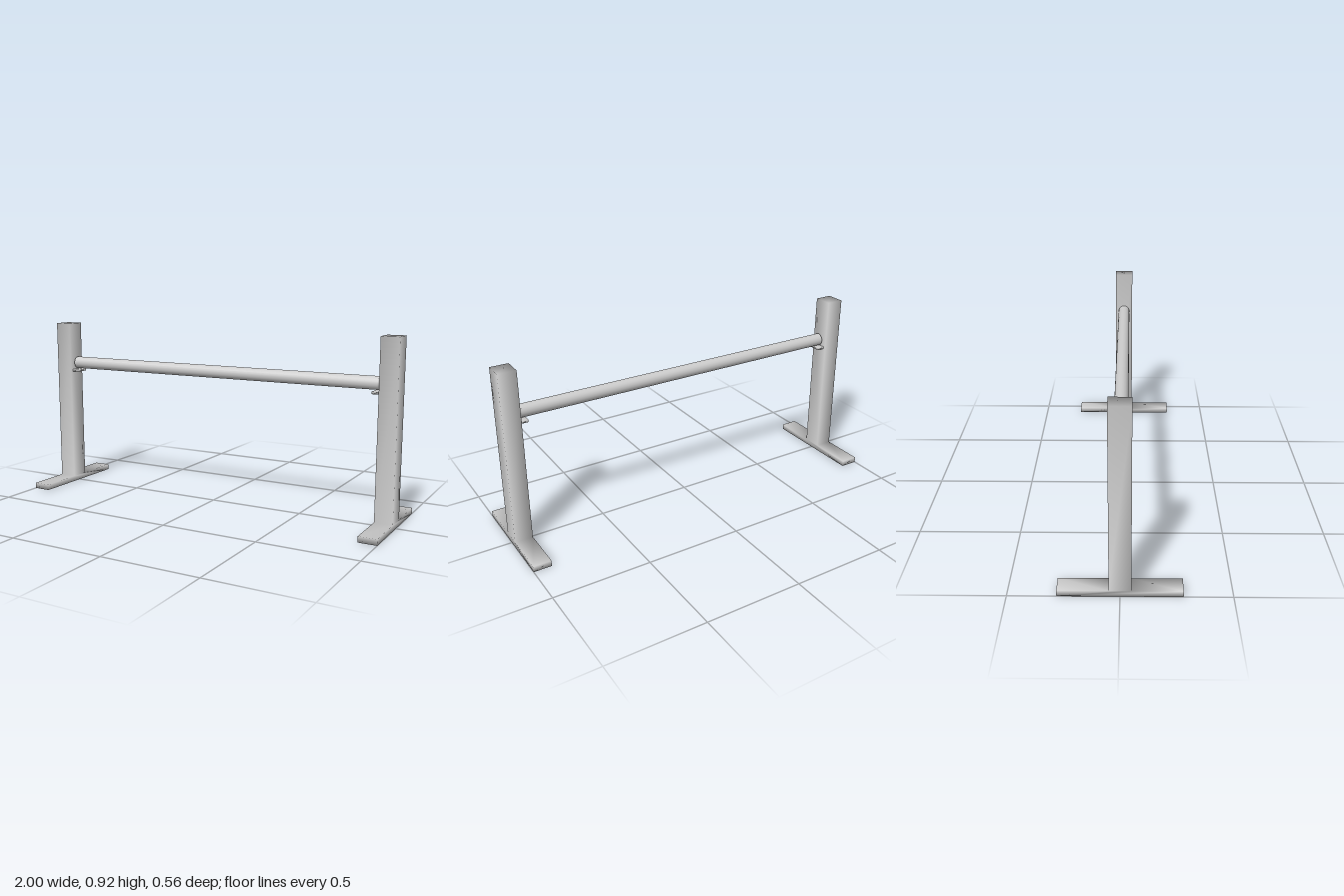
import * as THREE from 'three';
import { mergeVertices } from 'three/addons/utils/BufferGeometryUtils.js';

// Share corners so the shading runs softly across the edges
function soften(geometry) {
  geometry.deleteAttribute('uv');
  geometry.deleteAttribute('normal');
  const merged = mergeVertices(geometry, 1e-4);
  merged.computeVertexNormals();
  return merged;
}

export function createModel() {
  const group = new THREE.Group();
  group.name = 'hurdle';
  const paint = new THREE.MeshStandardMaterial({ color: 0xcccccc });
  paint.name = 'light grey';

  const add = (name, geometry, x, y) => {
    const mesh = new THREE.Mesh(soften(geometry), paint);
    mesh.name = name;
    mesh.position.set(x, y, 0);
    group.add(mesh);
  };

  // Side profile of a stand: upright post on a flat foot
  const half = [[0.28, 0], [0.28, 0.03], [0.05, 0.03], [0.05, 0.92]];
  const outline = [...half, ...half.map(([z, y]) => [-z, y]).reverse()];
  const profile = new THREE.Shape(outline.map(([z, y]) => new THREE.Vector2(z, y)));
  const thickness = 0.092;

  for (const [side, s] of [['left', 1], ['right', -1]]) {
    // Post and foot in one piece
    const stand = new THREE.ExtrudeGeometry(profile, { depth: thickness, bevelEnabled: false });
    stand.translate(0, 0, -thickness / 2).rotateY(Math.PI / 2);
    add(side + 'Stand', stand, s * (1 - thickness / 2), 0);

    // Small ledge that carries the bar
    add(side + 'Ledge', new THREE.BoxGeometry(0.04, 0.012, 0.07), s * 0.889, 0.652);
  }

  // Round crossbar resting on the ledges
  const bar = new THREE.CylinderGeometry(0.033, 0.033, 1.79, 20);
  bar.rotateZ(Math.PI / 2);
  add('crossbar', bar, 0, 0.696);

  return group;
}
